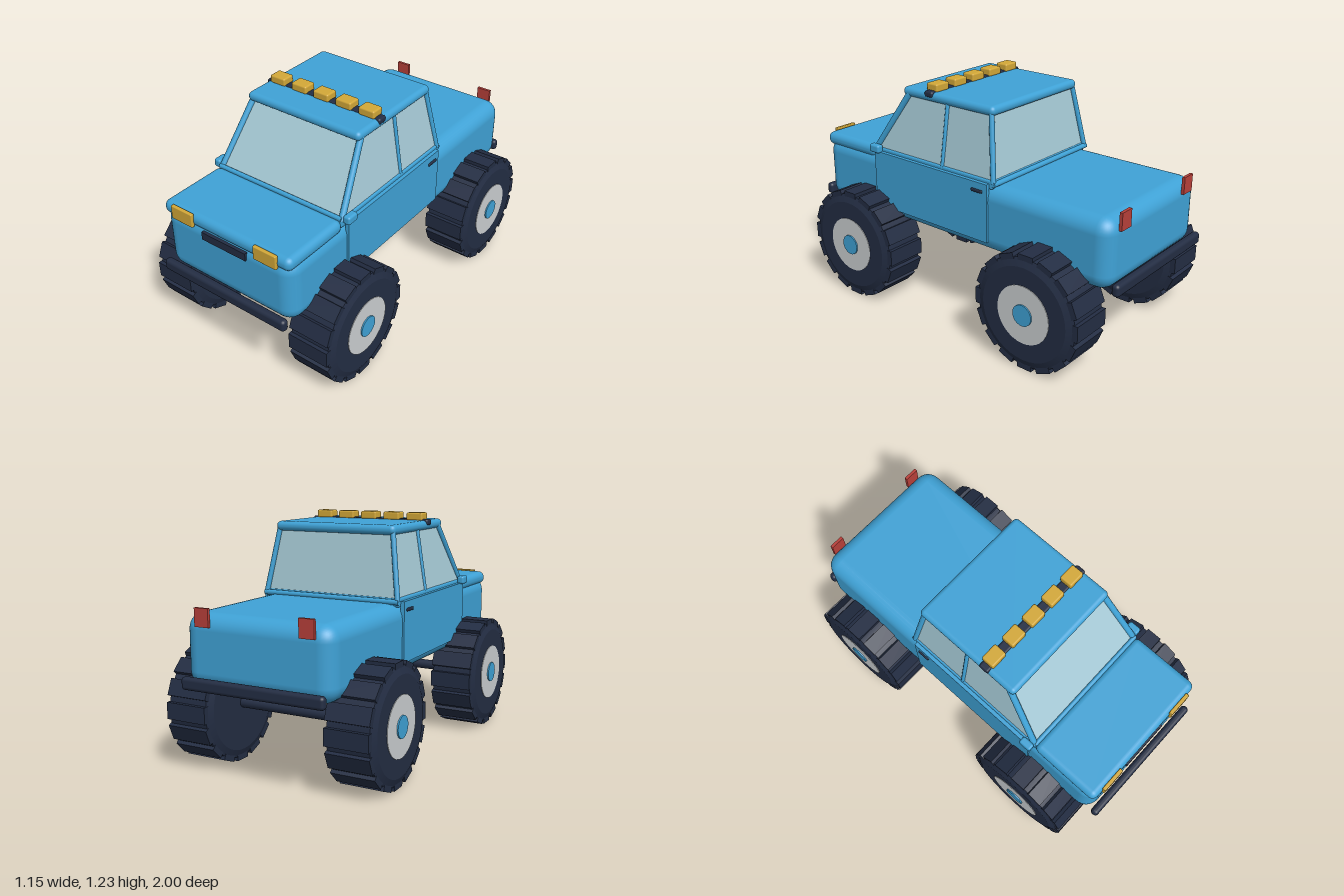
import * as THREE from 'three';
import { toCreasedNormals } from 'three/addons/utils/BufferGeometryUtils.js';
import { RoundedBoxGeometry } from 'three/addons/geometries/RoundedBoxGeometry.js';

const mat = (name, color) => {
  const m = new THREE.MeshStandardMaterial({ color });
  m.name = name;
  return m;
};

export function createModel() {
  const truck = new THREE.Group();
  truck.name = 'monsterTruck';
  const blue = mat('bluePaint', 0x3fa2d6);
  const dark = mat('darkRubber', 0x232d43);
  const amber = mat('amberLamp', 0xd3a838);
  const red = mat('redLamp', 0xb8403a);
  const grey = mat('lightGrey', 0xcbcfd1);
  const glass = mat('paleGlass', 0xa6cad6);

  const add = (name, geo, material, parent = truck) => {
    const m = new THREE.Mesh(geo, material);
    m.name = name;
    parent.add(m);
    return m;
  };
  // Box given by its x, y and z ranges, rounded when r > 0
  const box = (name, material, [x0, x1], [y0, y1], [z0, z1], r = 0, seg = 3) => {
    const s = [x1 - x0, y1 - y0, z1 - z0];
    const geo = r ? new RoundedBoxGeometry(...s, seg, r) : new THREE.BoxGeometry(...s);
    const m = add(name, geo, material);
    m.position.set((x0 + x1) / 2, (y0 + y1) / 2, (z0 + z1) / 2);
    return m;
  };
  // Round bar between two points
  const bar = (name, material, a, b, r, sides = 10) => {
    const p = new THREE.Vector3(...a), q = new THREE.Vector3(...b);
    const m = add(name, new THREE.CylinderGeometry(r, r, p.distanceTo(q), sides), material);
    m.position.copy(p).add(q).multiplyScalar(0.5);
    m.quaternion.setFromUnitVectors(new THREE.Vector3(0, 1, 0), q.sub(p).normalize());
    return m;
  };
  // Range mirrored to the given side
  const side = (s, a, b) => (s > 0 ? [a, b] : [-b, -a]);

  // Body, hood and roof
  box('body', blue, [-0.4, 0.4], [0.45, 0.81], [-0.95, 0.95], 0.08, 4);
  box('hood', blue, [-0.395, 0.395], [0.765, 0.838], [0.56, 0.95], 0.034);
  box('cabSill', blue, [-0.39, 0.39], [0.79, 0.838], [-0.265, 0.57], 0.01, 2);
  box('roof', blue, [-0.345, 0.345], [1.14, 1.19], [-0.235, 0.375], 0.024);

  // Glasshouse: a box whose top is narrowed and drawn in
  const cab = new THREE.BoxGeometry(1, 1, 1);
  const pos = cab.attributes.position;
  for (let i = 0; i < pos.count; i++) {
    const top = pos.getY(i) > 0, front = pos.getZ(i) > 0;
    pos.setXYZ(i, Math.sign(pos.getX(i)) * (top ? 0.328 : 0.382), top ? 1.15 : 0.83,
      front ? (top ? 0.34 : 0.555) : (top ? -0.212 : -0.262));
  }
  cab.computeVertexNormals();
  add('windows', cab, glass);
  bar('windshieldSill', blue, [-0.385, 0.835, 0.56], [0.385, 0.835, 0.56], 0.012);
  bar('rearWindowSill', blue, [-0.39, 0.818, -0.272], [0.39, 0.818, -0.272], 0.014);

  for (const s of [1, -1]) {
    // Pillars
    bar('frontPillar', blue, [s * 0.38, 0.82, 0.557], [s * 0.328, 1.16, 0.335], 0.017);
    bar('middlePillar', blue, [s * 0.382, 0.82, 0.07], [s * 0.33, 1.15, 0.07], 0.011);
    bar('rearPillar', blue, [s * 0.382, 0.82, -0.268], [s * 0.328, 1.16, -0.213], 0.014);
    // Door, handle and mirror
    box('door', blue, side(s, 0.39, 0.41), [0.51, 0.82], [-0.247, 0.54]);
    box('doorHandle', dark, side(s, 0.405, 0.418), [0.768, 0.784], [-0.22, -0.15], 0.005, 2);
    box('mirror', blue, side(s, 0.39, 0.43), [0.815, 0.86], [0.492, 0.562], 0.012, 2);
    // Lamps
    box('headlight', amber, side(s, 0.19, 0.325), [0.768, 0.842], [0.943, 0.963], 0.005, 2);
    box('tailLight', red, side(s, 0.242, 0.32), [0.75, 0.84], [-0.962, -0.946]);
    // Chassis rails
    box('chassisRail', dark, side(s, 0.195, 0.255), [0.405, 0.455], [-0.75, 0.75], 0.014, 2);
  }

  // Grille and bumpers
  box('grille', dark, [-0.136, 0.136], [0.725, 0.767], [0.94, 0.958]);
  for (const s of [1, -1]) {
    box('bumper', dark, [-0.385, 0.385], [0.45, 0.513], side(s, 0.958, 1), 0.018);
  }

  // Roof light bar
  box('lightBar', dark, [-0.35, 0.35], [1.163, 1.196], [0.16, 0.217], 0.012, 2);
  for (let i = -2; i <= 2; i++) {
    const x = i * 0.137;
    box('roofLight', amber, [x - 0.046, x + 0.046], [1.188, 1.23], [0.153, 0.225], 0.009, 2);
  }

  // Wheel geometry, axis along x with the outer face at +x
  const profile = [[0, -0.125], [0.245, -0.125], [0.287, -0.108], [0.287, 0.108], [0.245, 0.125], [0, 0.125]];
  const tyreGeo = toCreasedNormals(
    new THREE.LatheGeometry(profile.map(p => new THREE.Vector2(...p)), 40).rotateZ(-Math.PI / 2), 0.35);
  const lugGeo = new THREE.BoxGeometry(0.226, 0.034, 0.085);
  const disc = (r, a, b, n) => new THREE.CylinderGeometry(r, r, b - a, n)
    .rotateZ(-Math.PI / 2).translate((a + b) / 2, 0, 0);
  const rimGeo = disc(0.152, 0.115, 0.128, 32);
  const hubGeo = disc(0.055, 0.115, 0.135, 24);

  for (const z of [0.6, -0.6]) {
    bar('axle', dark, [-0.33, 0.303, z], [0.33, 0.303, z], 0.027, 16);
    for (const s of [1, -1]) {
      bar('suspensionStrut', grey, [s * 0.255, 0.46, z], [s * 0.335, 0.335, z], 0.01, 8);
      const wheel = new THREE.Group();
      wheel.name = 'wheel';
      wheel.position.set(s * 0.44, 0.303, z);
      if (s < 0) wheel.rotation.y = Math.PI;
      truck.add(wheel);
      add('tyre', tyreGeo, dark, wheel);
      add('rim', rimGeo, grey, wheel);
      add('hubCap', hubGeo, blue, wheel);
      for (let i = 0; i < 16; i++) {
        const a = (i / 16) * Math.PI * 2;
        const lug = add('treadLug', lugGeo, dark, wheel);
        lug.position.set(0, Math.cos(a) * 0.286, Math.sin(a) * 0.286);
        lug.rotation.x = a;
      }
    }
  }
  return truck;
}
